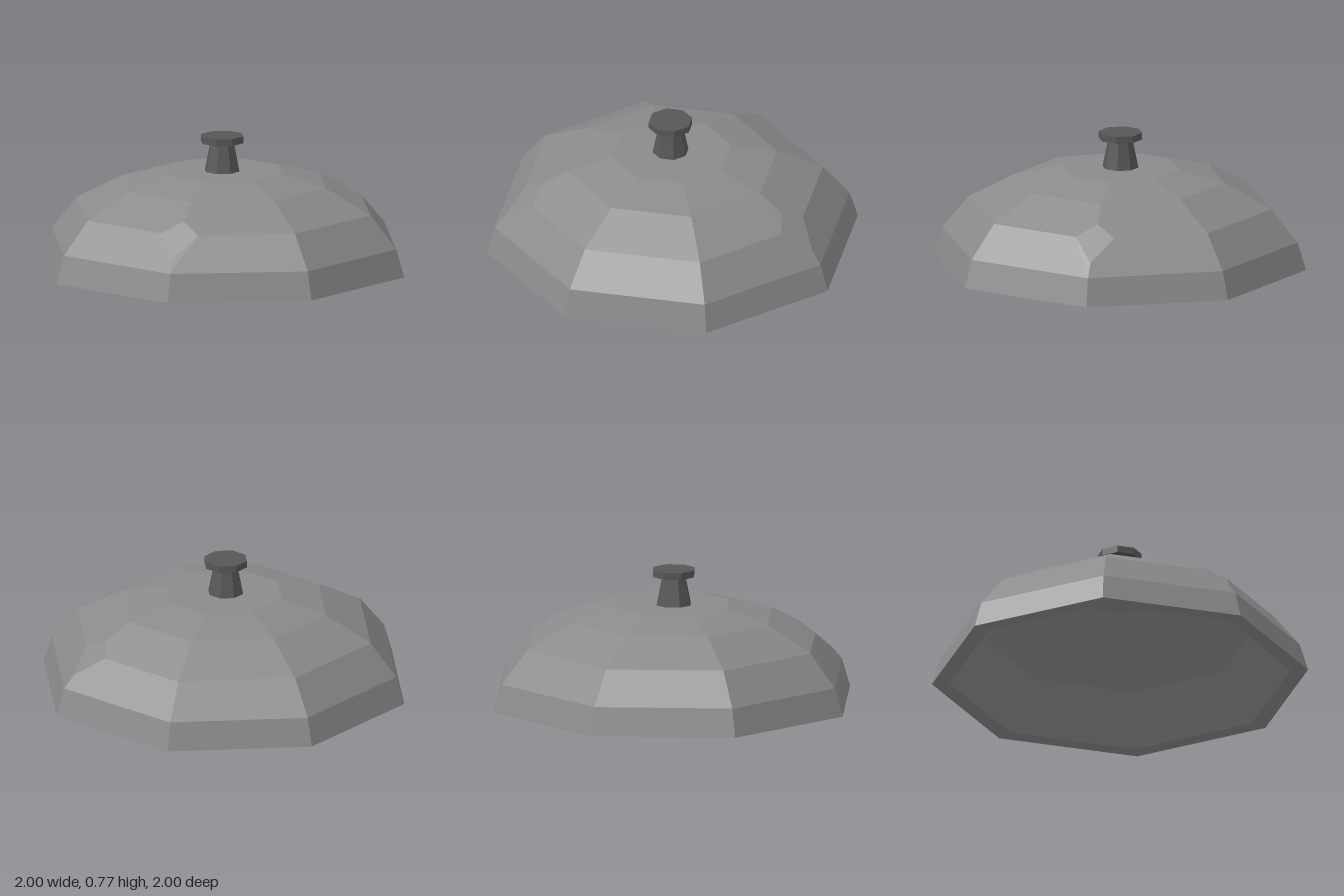
import * as THREE from 'three';
import { ConvexGeometry } from 'three/addons/geometries/ConvexGeometry.js';

const SIDES = 8;
const CORNER = 1 / Math.cos(Math.PI / SIDES); // flat-to-centre distance -> corner radius

// Faceted octagonal lathe with flats facing the axes; profile is [apothem, y]
function octagonLathe(profile) {
  const points = profile.map(([a, y]) => new THREE.Vector2(a * CORNER, y));
  const geometry = new THREE.LatheGeometry(points, SIDES, Math.PI / SIDES).toNonIndexed();
  geometry.computeVertexNormals();
  return geometry;
}

// Outer dome: convex facets with the two front side corners chipped, open underneath
function domeGeometry() {
  const rings = [[1, 0.004], [0.955, 0.165], [0.812, 0.355], [0.565, 0.497], [0.32, 0.563]];
  const chippedRing = 2;
  const points = [];
  rings.forEach(([a, y], ring) => {
    for (let i = 0; i < SIDES; i++) {
      const angle = ((i + 0.5) / SIDES) * Math.PI * 2;
      const x = a * CORNER * Math.cos(angle);
      const z = a * CORNER * Math.sin(angle);
      const chipped = ring === chippedRing && z > 0 && Math.abs(x) > z;
      if (!chipped) points.push(new THREE.Vector3(x, y, z));
    }
  });
  for (const s of [-1, 1]) {
    points.push(
      new THREE.Vector3(s * 0.812, 0.355, 0.21),
      new THREE.Vector3(s * 0.73, 0.355, 0.418),
      new THREE.Vector3(s * 0.705, 0.417, 0.287),
      new THREE.Vector3(s * 0.9, 0.238, 0.368)
    );
  }
  // Drop the flat bottom of the hull
  const hull = new ConvexGeometry(points).getAttribute('position');
  const kept = [];
  for (let i = 0; i < hull.count; i += 3) {
    if (Math.max(hull.getY(i), hull.getY(i + 1), hull.getY(i + 2)) < 0.01) continue;
    for (let j = i; j < i + 3; j++) kept.push(hull.getX(j), hull.getY(j), hull.getZ(j));
  }
  const geometry = new THREE.BufferGeometry();
  geometry.setAttribute('position', new THREE.Float32BufferAttribute(kept, 3));
  geometry.computeVertexNormals();
  return geometry;
}

export function createModel() {
  const shellGrey = new THREE.MeshStandardMaterial({ color: 0x8a8a8a });
  shellGrey.name = 'shell grey';
  const knobGrey = new THREE.MeshStandardMaterial({ color: 0x575757 });
  knobGrey.name = 'knob grey';

  const model = new THREE.Group();
  model.name = 'domedLid';
  const add = (name, geometry, material, parent = model) => {
    const mesh = new THREE.Mesh(geometry, material);
    mesh.name = name;
    parent.add(mesh);
  };

  add('dome', domeGeometry(), shellGrey);

  // Bottom rim and hollow inside, running so that the faces look down and inwards
  add('rim', octagonLathe([[0.907, 0.004], [1, 0.004]]), shellGrey);
  add('inside', octagonLathe([[0, 0.525], [0.24, 0.525], [0.7, 0.258], [0.907, 0.004]]), shellGrey);

  // Tapered stem with a flat cap
  const knob = new THREE.Group();
  knob.name = 'knob';
  knob.position.set(-0.01, 0, -0.005);
  model.add(knob);
  add('stem', octagonLathe([[0.097, 0.56], [0.064, 0.735]]), knobGrey, knob);
  add('cap', octagonLathe([[0, 0.73], [0.117, 0.73], [0.117, 0.77], [0, 0.77]]), knobGrey, knob);
  return model;
}
